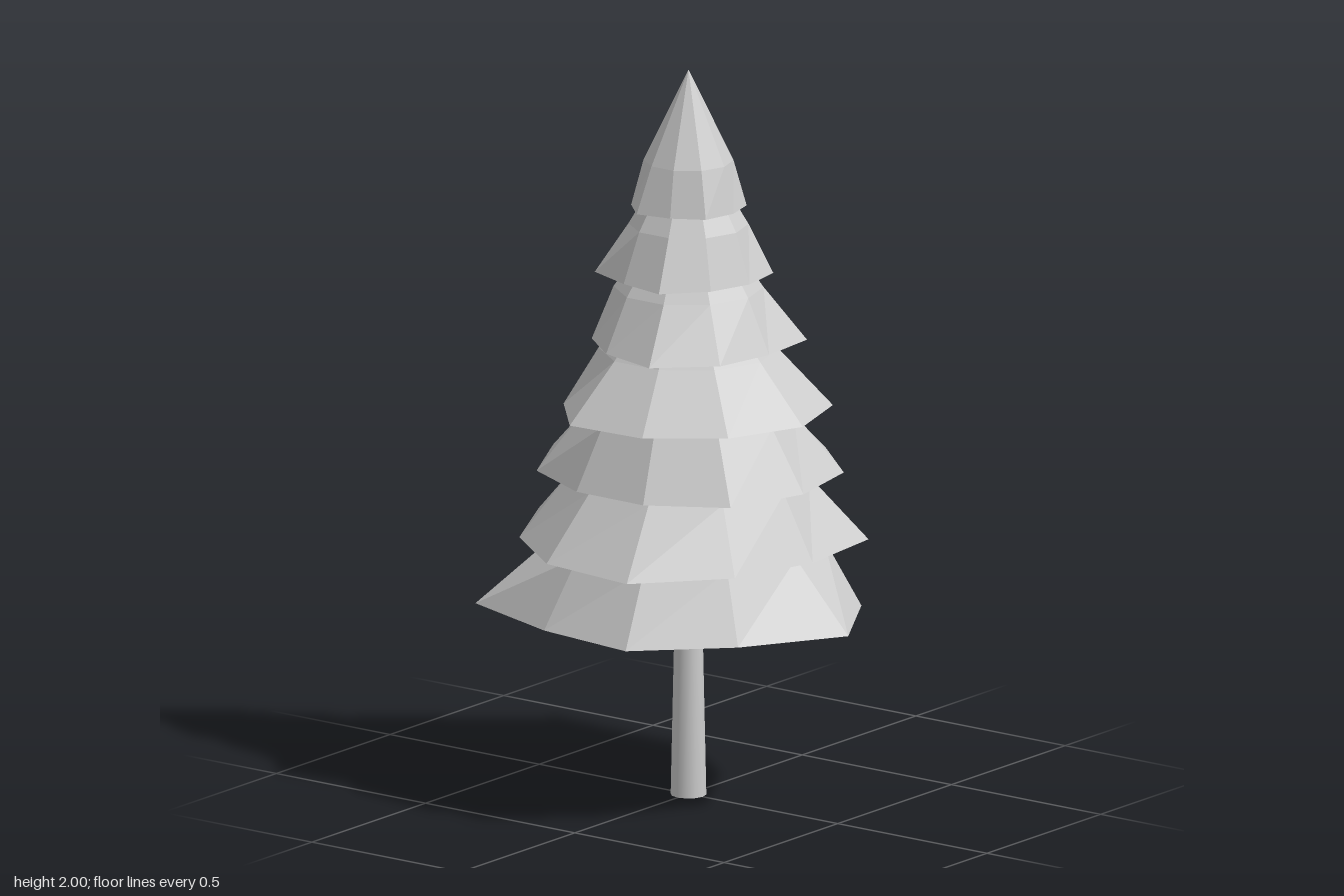
import * as THREE from 'three';

const SIDES = 10;
const STEP = (Math.PI * 2) / SIDES;

// Each tier: base height, radius of its middle ring, height of that ring above the base,
// and the uneven hem radii, one per corner going from +x towards +z.
const TIERS = [
  { y: 0.523, ring: 0.36, rise: 0.185, hem: [0.535, 0.46, 0.507, 0.468, 0.568, 0.54, 0.545, 0.48, 0.475, 0.461] },
  { y: 0.706, ring: 0.32, rise: 0.175, hem: [0.416, 0.43, 0.498, 0.46, 0.451, 0.503, 0.5, 0.515, 0.492, 0.48] },
  { y: 0.89, ring: 0.28, rise: 0.165, hem: [0.385, 0.39, 0.366, 0.363, 0.405, 0.454, 0.38, 0.397, 0.443, 0.414] },
  { y: 1.076, ring: 0.24, rise: 0.155, hem: [0.383, 0.368, 0.373, 0.385, 0.333, 0.313, 0.35, 0.355, 0.378, 0.385] },
  { y: 1.256, ring: 0.2, rise: 0.145, hem: [0.27, 0.293, 0.318, 0.267, 0.258, 0.297, 0.27, 0.257, 0.31, 0.316] },
  { y: 1.44, ring: 0.16, rise: 0.135, hem: [0.205, 0.207, 0.239, 0.21, 0.25, 0.215, 0.215, 0.218, 0.21, 0.226] },
  { y: 1.626, ring: 0.12, rise: 0.1247, hem: [0.15, 0.16, 0.148, 0.168, 0.153, 0.15, 0.168, 0.155, 0.15, 0.155] },
];

// A three-step cone whose bottom corners are pulled to the hem radii.
function tierGeometry({ y, ring, rise, hem }) {
  const height = rise * 3;
  const cone = new THREE.ConeGeometry(ring * 1.5, height, SIDES, 3, false, Math.PI / 2);
  cone.translate(0, height / 2, 0);
  const p = cone.attributes.position;
  for (let i = 0; i < p.count; i++) {
    const x = p.getX(i), z = p.getZ(i);
    if (p.getY(i) > 0.001 || Math.hypot(x, z) < 0.001) continue;
    const corner = (Math.round(Math.atan2(z, x) / STEP) + SIDES) % SIDES;
    p.setX(i, Math.cos(corner * STEP) * hem[corner]);
    p.setZ(i, Math.sin(corner * STEP) * hem[corner]);
  }
  cone.translate(0, y, 0);
  // Separate faces give flat facets
  const flat = cone.toNonIndexed();
  flat.computeVertexNormals();
  return flat;
}

export function createModel() {
  const tree = new THREE.Group();
  tree.name = 'coniferTree';
  const lightGrey = new THREE.MeshStandardMaterial({ color: 0xcccccc });
  lightGrey.name = 'lightGrey';

  // Smooth, slightly tapered trunk
  const trunk = new THREE.Mesh(new THREE.CylinderGeometry(0.036, 0.048, 0.56, 12), lightGrey);
  trunk.name = 'trunk';
  trunk.position.y = 0.28;
  tree.add(trunk);

  // Overlapping foliage tiers
  const foliage = new THREE.Group();
  foliage.name = 'foliage';
  TIERS.forEach((tier, i) => {
    const mesh = new THREE.Mesh(tierGeometry(tier), lightGrey);
    mesh.name = `foliageTier${i + 1}`;
    foliage.add(mesh);
  });
  tree.add(foliage);
  return tree;
}
